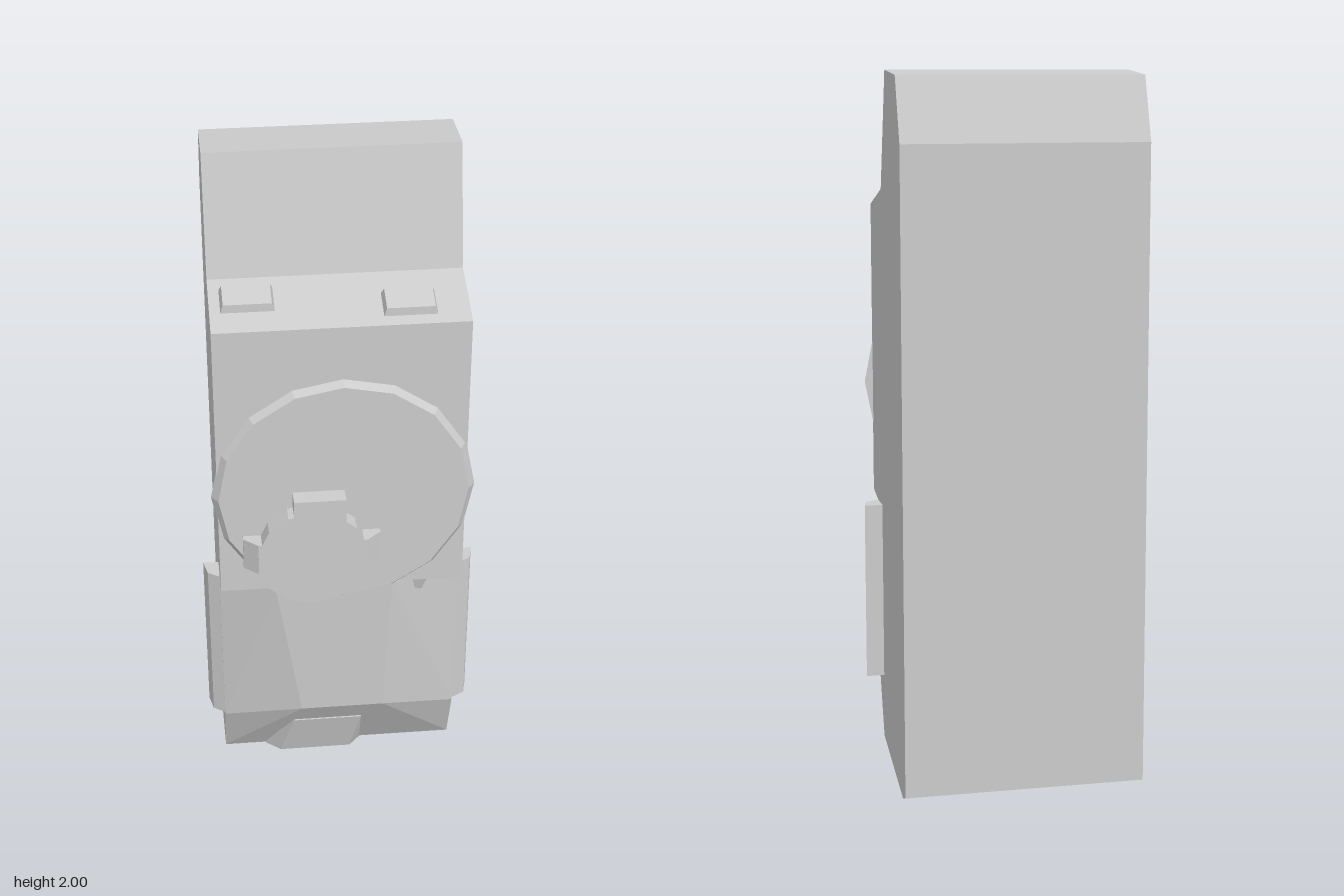
import * as THREE from 'three';
import { ConvexGeometry } from 'three/addons/geometries/ConvexGeometry.js';

const material = new THREE.MeshStandardMaterial({ color: 0xcccccc, flatShading: true });
const L = -0.345, R = 0.338; // side walls of the body

export function createModel() {
  const model = new THREE.Group();
  const add = (name, geometry) => {
    const mesh = new THREE.Mesh(geometry, material);
    mesh.name = name;
    model.add(mesh);
    return mesh;
  };
  const hull = (name, points) =>
    add(name, new ConvexGeometry(points.map((p) => new THREE.Vector3(...p))));
  const extrude = (points, depth) =>
    new THREE.ExtrudeGeometry(new THREE.Shape(points.map((p) => new THREE.Vector2(...p))),
      { depth, bevelEnabled: false });

  // Main body: side profile (z, y) swept across the width
  const body = extrude([
    [0.07, 0.075], [0.14, 0.26], [0.14, 0.77], [0.22, 0.785], [0.22, 1.62], [0.03, 1.675],
    [-0.055, 2], [-0.225, 1.988], [-0.29, 1.81], [-0.29, 0.015], [-0.25, 0],
  ], R - L);
  body.rotateY(-Math.PI / 2);
  body.translate(R, 0, 0);
  add('body', body);

  // Faceted lower front panel
  hull('lowerFrontPanel', [
    [L, 0.77, 0.13], [R, 0.77, 0.13], [-0.19, 0.775, 0.217], [0.14, 0.775, 0.217],
    [-0.12, 0.32, 0.208], [0.12, 0.32, 0.208], [L, 0.26, 0.14], [R, 0.26, 0.14],
    [L, 0.77, 0.14], [R, 0.77, 0.14], [L, 0.076, 0.07], [R, 0.076, 0.07],
    [L, 0.77, 0], [R, 0.77, 0], [L, 0.076, 0.04], [R, 0.076, 0.04],
  ]);

  // Foot ledge at the bottom of the panel
  hull('footLedge', [
    [-0.14, 0.24, 0.168], [0.06, 0.24, 0.168], [-0.18, 0.09, 0.125], [0.03, 0.09, 0.125],
    [-0.225, 0.078, 0.075], [0.065, 0.078, 0.075], [-0.14, 0.24, 0.12], [0.06, 0.24, 0.12],
  ]);

  // Side pads and the small wedges below the overhang
  for (const [side, s, wall] of [['left', 1, R], ['right', -1, -L]]) {
    const section = [[wall - 0.02, 0.063], [0.389, 0.063], [0.378, 0.112], [wall, 0.134], [wall - 0.02, 0.134]];
    hull(side + 'Pad', [0.262, 0.77].flatMap((y) => section.map(([x, z]) => [s * x, y, z])));
    hull(side + 'Wedge', [
      [s * 0.195, 0.775, 0.16], [s * 0.25, 0.775, 0.15], [s * 0.2, 0.775, 0.205],
      [s * 0.245, 0.775, 0.195], [s * 0.22, 0.69, 0.175],
    ]);
  }

  // Large sixteen-sided disc
  const disc = new THREE.CylinderGeometry(0.343, 0.362, 0.024, 16);
  disc.rotateX(Math.PI / 2);
  disc.translate(0, 1.105, 0.227);
  add('disc', disc);

  // Small round plate on the disc, with tabs
  const cx = -0.09, cy = 0.93;
  const plate = new THREE.CylinderGeometry(0.154, 0.154, 0.058, 14);
  plate.rotateX(Math.PI / 2);
  plate.translate(cx, cy, 0.26);
  add('plate', plate);
  const topTab = new THREE.BoxGeometry(0.142, 0.13, 0.058);
  topTab.translate(-0.07, 1.057, 0.26);
  add('topTab', topTab);
  hull('bottomTab', [
    [-0.14, 0.79, 0.288], [-0.04, 0.79, 0.288], [-0.14, 0.755, 0.24],
    [-0.04, 0.755, 0.24], [-0.14, 0.79, 0.235], [-0.04, 0.79, 0.235],
  ]);
  for (const s of [-1, 1]) {
    hull(s < 0 ? 'rightTab' : 'leftTab', [0.888, 0.985].flatMap((y) => [
      [cx + s * 0.12, y, 0.235], [cx + s * 0.19, y, 0.235], [cx + s * 0.19, y, 0.254],
      [cx + s * 0.15, y, 0.288], [cx + s * 0.12, y, 0.288],
    ]));
  }

  // Two tapered buttons lying on the sloped shoulder
  for (const [name, x, z] of [['rightButton', -0.245, 0.11], ['leftButton', 0.18, 0.147]]) {
    const button = hull(name, [
      ...[-1, 1].flatMap((i) => [-1, 1].flatMap((k) => [
        [i * 0.074, -0.01, k * 0.046], [i * 0.064, 0.022, k * 0.036],
      ])),
    ]);
    button.position.set(x, 1.675 - (z - 0.03) * 0.29, z);
    button.rotation.x = Math.atan(0.29);
  }
  return model;
}
